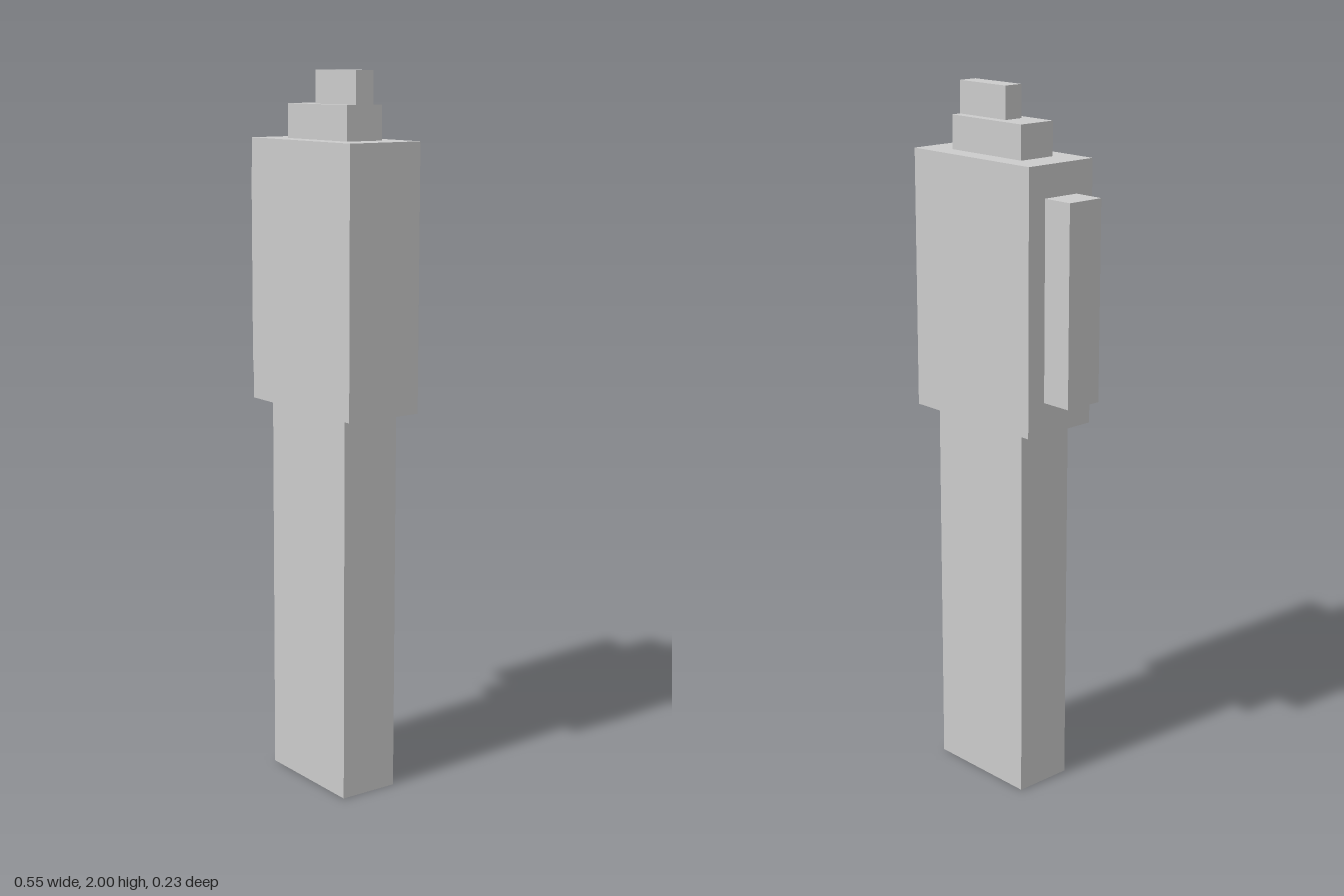
import * as THREE from 'three';

const material = new THREE.MeshStandardMaterial({ color: 0xcccccc, flatShading: true });

// Box from its x range, y range and full depth, centred on z = 0
function block(name, [x0, x1], [y0, y1], depth) {
  const mesh = new THREE.Mesh(new THREE.BoxGeometry(x1 - x0, y1 - y0, depth), material);
  mesh.position.set((x0 + x1) / 2, (y0 + y1) / 2, 0);
  mesh.name = name;
  return mesh;
}

export function createModel() {
  const model = new THREE.Group();
  model.name = 'model';
  model.add(
    // Long grip below the head
    block('handle', [-0.128, 0.216], [0, 1.085], 0.174),
    // Wide main body
    block('head', [-0.184, 0.275], [1.085, 1.816], 0.23),
    // Narrow plate on the side of the head
    block('sidePlate', [-0.276, -0.184], [1.175, 1.728], 0.114),
    // Stepped crest on top, flush at one end
    block('lowerCrest', [-0.092, 0.183], [1.816, 1.91], 0.114),
    block('upperCrest', [0, 0.183], [1.91, 2], 0.057),
  );
  return model;
}
